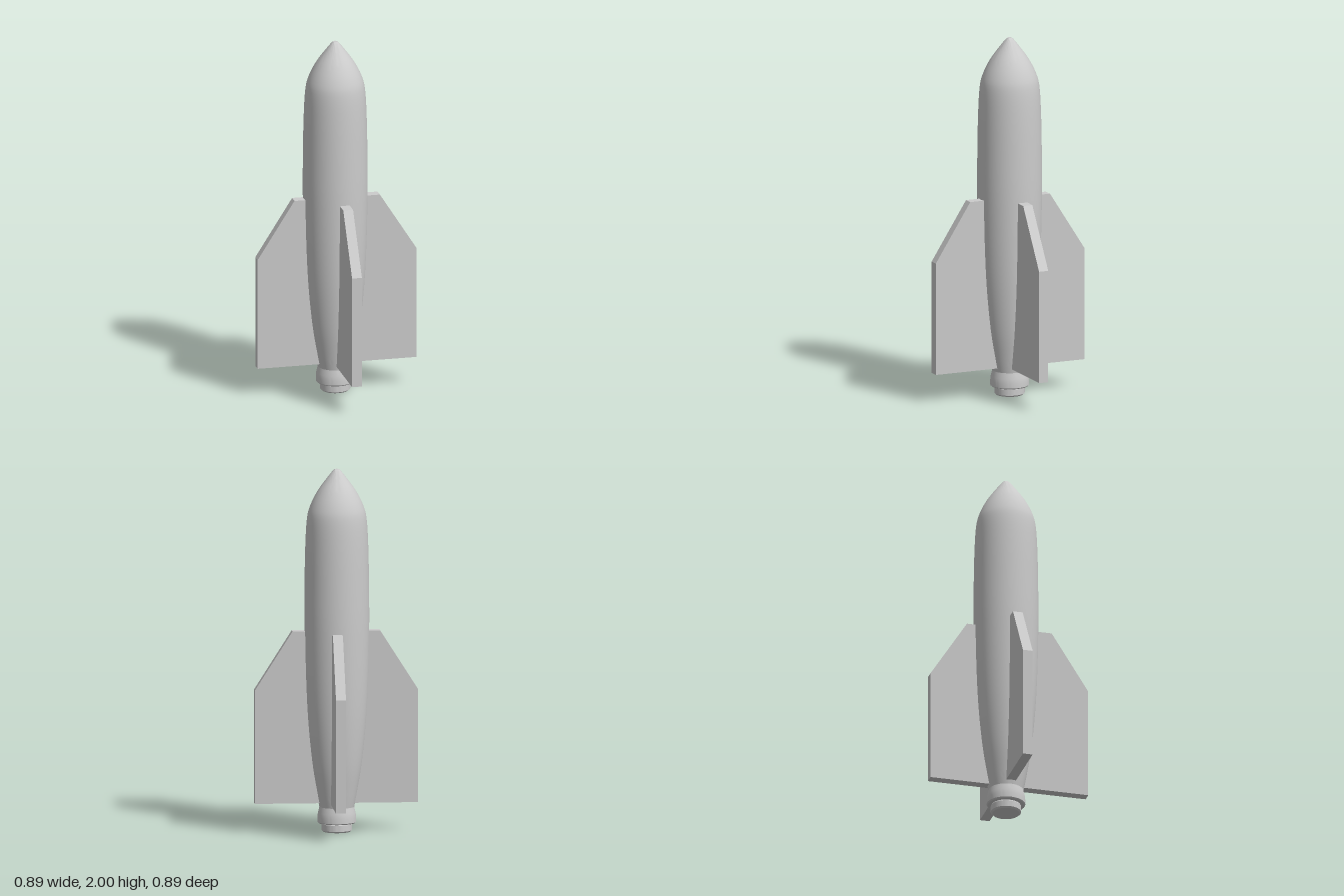
import * as THREE from 'three';
import { toCreasedNormals } from 'three/addons/utils/BufferGeometryUtils.js';

const material = new THREE.MeshStandardMaterial({ color: 0xcccccc });
const AXIS_X = -0.004, AXIS_Z = -0.015;

const toPoints = (pairs) => pairs.map(([r, y]) => new THREE.Vector2(r, y));

// Turned part around the rocket's axis, with sharp edges kept
function turned(name, points) {
  const geometry = toCreasedNormals(new THREE.LatheGeometry(points, 64), 0.5);
  const mesh = new THREE.Mesh(geometry, material);
  mesh.name = name;
  mesh.position.set(AXIS_X, 0, AXIS_Z);
  return mesh;
}

// Flat fin lying in the xy plane, reaching out along +x
function finGeometry(thickness) {
  const outline = new THREE.Shape(toPoints([
    [0.02, 0.16], [0.447, 0.16], [0.447, 0.785], [0.24, 1.11], [0.02, 1.11],
  ]));
  const geometry = new THREE.ExtrudeGeometry(outline, { depth: thickness, bevelEnabled: false });
  return geometry.translate(0, 0, -thickness / 2);
}

export function createModel() {
  const model = new THREE.Group();
  model.name = 'rocket';

  // Hull: smooth curve from the tail to the small flat tip
  const hullCurve = new THREE.SplineCurve(toPoints([
    [0.095, 0.135], [0.111, 0.22], [0.137, 0.38], [0.159, 0.6], [0.171, 0.83],
    [0.177, 1.1], [0.177, 1.3], [0.173, 1.55], [0.164, 1.72], [0.145, 1.8],
    [0.105, 1.88], [0.055, 1.95], [0.025, 1.988], [0.013, 2.0],
  ]));
  model.add(turned('hull', [...hullCurve.getPoints(56), new THREE.Vector2(0, 2.0)]));

  // Nozzle: bevelled outlet stub below a flared collar
  model.add(turned('nozzleOutlet', toPoints([
    [0, 0], [0.074, 0], [0.083, 0.008], [0.083, 0.042], [0.078, 0.05], [0, 0.05],
  ])));
  model.add(turned('nozzleCollar', toPoints([
    [0, 0.048], [0.1, 0.048], [0.106, 0.054], [0.106, 0.08], [0.103, 0.105],
    [0.098, 0.125], [0.095, 0.14], [0, 0.14],
  ])));

  // Four fins, a quarter turn apart
  const geometry = finGeometry(0.055);
  for (let i = 0; i < 4; i++) {
    const fin = new THREE.Mesh(geometry, material);
    fin.name = ['leftFin', 'backFin', 'rightFin', 'frontFin'][i];
    fin.rotation.y = i * Math.PI / 2;
    // Each pair sits slightly off centre
    if (i % 2 === 0) fin.position.z = -0.012;
    else fin.position.x = 0.008;
    model.add(fin);
  }
  return model;
}
